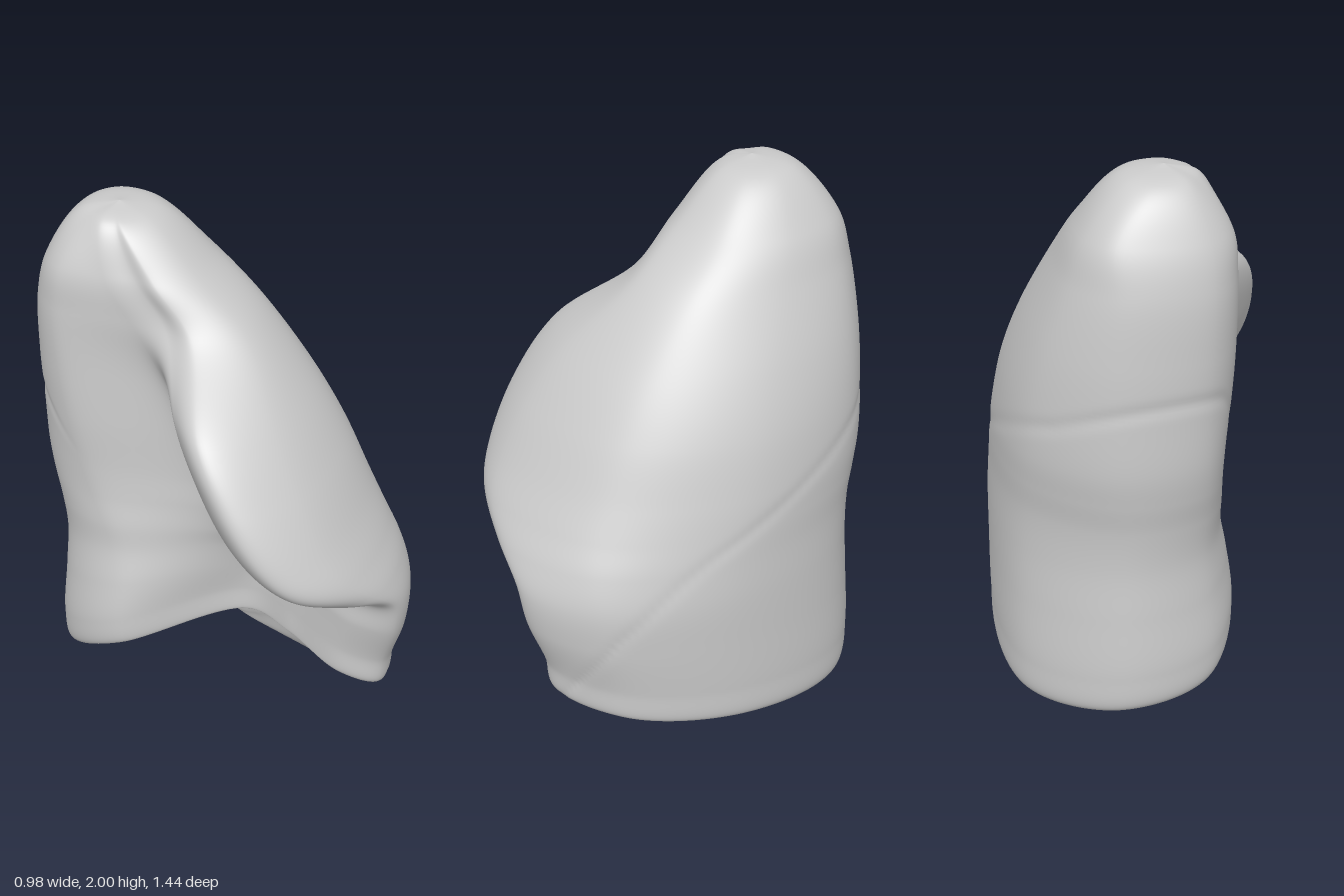
import * as THREE from 'three';

// Body sections from apex to base: height, back z, front z, lateral x, back tip x, front tip x,
// front medial x, hilum x, back medial x, then depth fractions of the back and front medial points
const SECTIONS = [
  [2.0, -0.37, -0.37, -0.16, -0.16, -0.16, -0.16, -0.16, -0.16, 0.3, 0.83],
  [1.965, -0.52, -0.23, 0.0, -0.12, -0.15, -0.24, -0.28, -0.27, 0.35, 0.82],
  [1.8, -0.635, -0.04, 0.14, -0.01, -0.13, -0.26, -0.335, -0.39, 0.3, 0.87],
  [1.64, -0.685, 0.15, 0.225, -0.02, -0.1, -0.25, -0.305, -0.41, 0.26, 0.87],
  [1.4, -0.71, 0.38, 0.34, -0.01, -0.2, -0.46, -0.25, -0.41, 0.24, 0.89],
  [1.2, -0.715, 0.52, 0.41, -0.01, -0.23, -0.49, -0.21, -0.4, 0.24, 0.91],
  [1.0, -0.715, 0.63, 0.45, -0.02, -0.22, -0.45, -0.17, -0.38, 0.25, 0.93],
  [0.88, -0.7, 0.69, 0.465, -0.03, -0.17, -0.37, -0.14, -0.37, 0.26, 0.94],
  [0.76, -0.68, 0.72, 0.475, -0.04, -0.05, -0.2, -0.09, -0.365, 0.28, 0.94],
  [0.6, -0.67, 0.72, 0.485, -0.04, 0.07, -0.01, -0.03, -0.36, 0.3, 0.93],
  [0.4, -0.68, 0.7, 0.485, -0.04, 0.1, 0.0, 0.0, -0.38, 0.33, 0.92],
  [0.16, -0.69, 0.64, 0.48, -0.04, 0.12, 0.01, 0.0, -0.4, 0.35, 0.92],
];
// Height of the lower rim around the loop, starting at the back tip
const RIM = [0.03, 0.0, 0.07, 0.16, 0.22, 0.29, 0.36, 0.37, 0.27, 0.09];
// Rings of the rounded rim and hollow base: scale towards the centre, rise towards the dome
const BASE = [[0.97, 0.12], [0.86, 0], [0.72, 0.1], [0.5, 0.5], [0.25, 0.9], [0, 1]];
const CENTRE = new THREE.Vector3(0.12, 0.22, -0.15);
const ROWS = 220, COLS = 180;
const { smoothstep, lerp } = THREE.MathUtils;

// Control points of one section: elliptical outer side, notched inner side
function sectionPoints([h, zb, zf, xl, xb, xf, xfm, xn, xbm, ubm, ufm]) {
  const q = Math.SQRT1_2;
  const corner = lerp(0.88, 0.8, smoothstep(h, 0.8, 1.3));
  return [
    [xb, 0], [lerp(xb, xl, q), 0.14], [xl, 0.52], [lerp(xf, xl, q), 0.87], [xf, 1],
    [xfm, ufm], [lerp(xn, xfm, 0.72), 0.74], [xn, 0.58], [xbm, ubm], [lerp(xb, xbm, corner), ubm * 0.32],
  ].map(([x, u], k) => {
    const y = h < 0.8 ? RIM[k] + h * (0.8 - RIM[k]) / 0.8 : h;
    return new THREE.Vector3(x, y, lerp(zb, zf, u));
  });
}

// Shallow oblique fissure wrapping the outer and back faces
function carveFissure(p) {
  const back = 1 - smoothstep(p.z, -0.6, -0.35), front = smoothstep(p.z, 0.35, 0.55);
  const f = 0.87 - 0.45 * p.z - 0.8 * Math.max(0, p.z - 0.1) ** 2
    + 0.2 * back * Math.max(0, 0.2 - p.x) - 0.8 * front * Math.max(0, 0.4 - p.x);
  const side = Math.max(smoothstep(p.x, 0.08, 0.25), back);
  const k = 1 - 0.008 * side * Math.exp(-(((p.y - f) / 0.026) ** 2));
  p.x *= k;
  p.z *= k;
}

function lungGeometry() {
  const rings = SECTIONS.map(sectionPoints);
  const rim = rings[rings.length - 1];
  for (const [s, rise] of BASE) {
    rings.push(rim.map((p, k) => {
      const v = CENTRE.clone().lerp(p, s);
      v.y = lerp(RIM[k], CENTRE.y, rise);
      return v;
    }));
  }
  // Smooth curves down each column, then around each row
  const columns = RIM.map((_, k) => new THREE.CatmullRomCurve3(rings.map((r) => r[k])));
  const positions = [], index = [];
  for (let i = 0; i <= ROWS; i++) {
    const loop = new THREE.CatmullRomCurve3(columns.map((c) => c.getPoint(i / ROWS)), true);
    for (let j = 0; j < COLS; j++) {
      const p = loop.getPoint(j / COLS);
      carveFissure(p);
      positions.push(p.x, p.y, p.z);
      if (i === ROWS) continue;
      const a = i * COLS + j, b = i * COLS + (j + 1) % COLS;
      index.push(a, b, a + COLS, b, b + COLS, a + COLS);
    }
  }
  const g = new THREE.BufferGeometry();
  g.setAttribute('position', new THREE.Float32BufferAttribute(positions, 3));
  g.setIndex(index);
  // Stand on the ground, centred
  g.computeBoundingBox();
  const { min, max } = g.boundingBox;
  g.translate(-(min.x + max.x) / 2, -min.y, -(min.z + max.z) / 2);
  g.computeVertexNormals();
  return g;
}

export function createModel() {
  const group = new THREE.Group();
  group.name = 'leftLung';
  const lung = new THREE.Mesh(lungGeometry(), new THREE.MeshStandardMaterial({ color: 0xcccccc }));
  lung.name = 'lungLobes';
  group.add(lung);
  return group;
}
